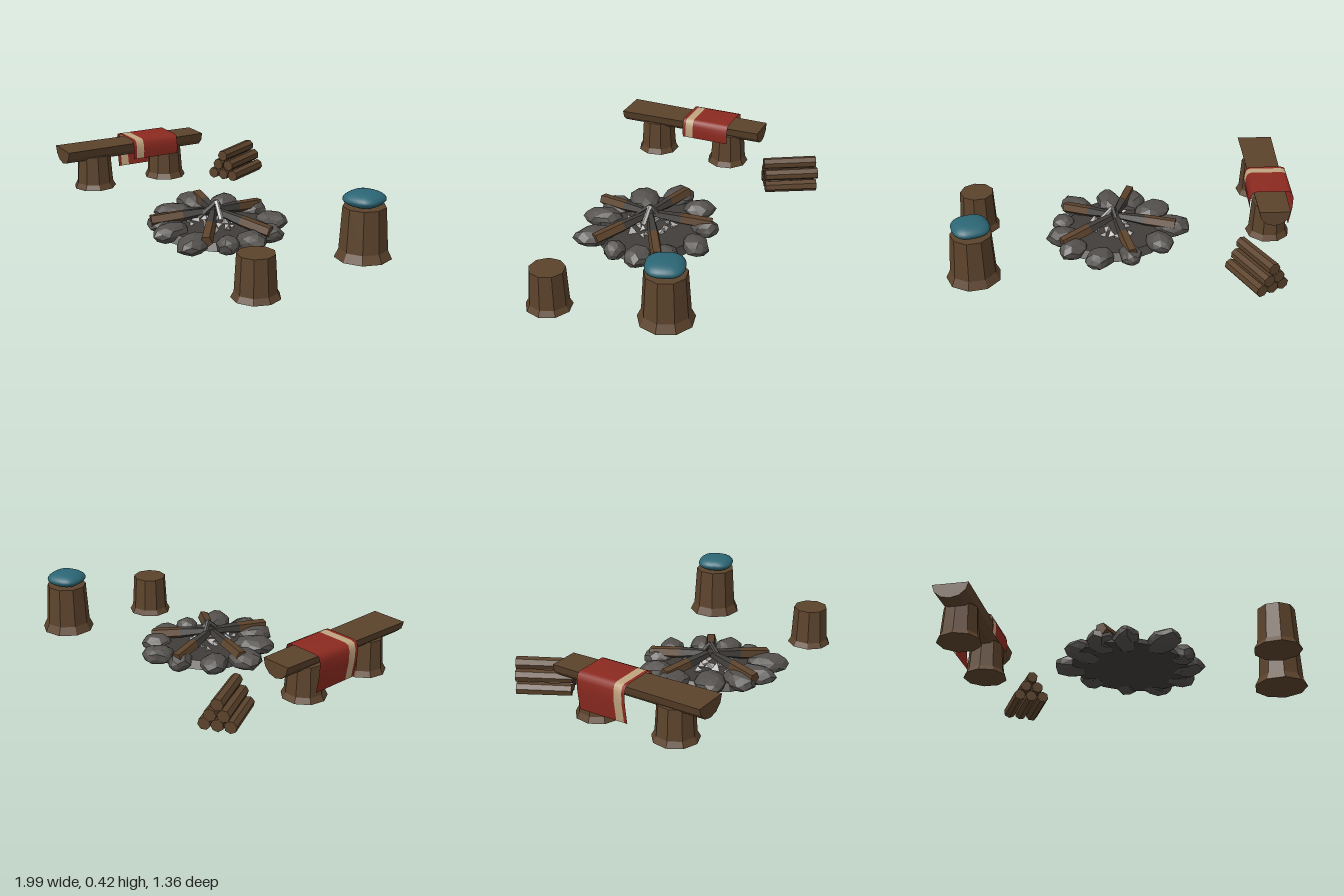
import * as THREE from 'three';

const mat = (name, color, extra = {}) => {
  const m = new THREE.MeshStandardMaterial({ color, flatShading: true, ...extra });
  m.name = name;
  return m;
};

export function createModel() {
  const wood = mat('wood', 0x5c432c);
  const stone = mat('stone', 0x53504d);
  const char = mat('charcoal', 0x403d3a);
  const ash = mat('ash', 0xbdbbb9);
  const red = mat('red cloth', 0x8c2a20, { side: THREE.DoubleSide, flatShading: false });
  const cream = mat('cream cloth', 0xc0a580, { side: THREE.DoubleSide, flatShading: false });
  const teal = mat('teal cushion', 0x2c6675, { flatShading: false });

  const root = new THREE.Group();
  root.name = 'campsite';
  let seed = 7;
  const rnd = () => (seed = (seed * 16807) % 2147483647) / 2147483647;

  const add = (parent, name, geo, material, x = 0, y = 0, z = 0) => {
    const m = new THREE.Mesh(geo, material);
    m.name = name;
    m.position.set(x, y, z);
    parent.add(m);
    return m;
  };
  const group = (name, x, z, ry) => {
    const g = new THREE.Group();
    g.name = name;
    g.position.set(x, 0, z);
    g.rotation.y = ry;
    root.add(g);
    return g;
  };

  // Cut stump with flared foot
  const stump = (parent, name, x, y, z, h, rb, rt, flare) => {
    const pts = [[0, 0], [rb, 0], [rt + (rb - rt) * 0.4, flare], [rt, h], [0, h]]
      .map(p => new THREE.Vector2(...p));
    return add(parent, name, new THREE.LatheGeometry(pts, 9), wood, x, y, z);
  };
  // Straight stick between two points
  const stick = (parent, name, a, b, ra, rb, sides, material) => {
    const d = b.clone().sub(a);
    const m = add(parent, name, new THREE.CylinderGeometry(rb, ra, d.length(), sides), material);
    m.position.copy(a).add(b).multiplyScalar(0.5);
    m.quaternion.setFromUnitVectors(new THREE.Vector3(0, 1, 0), d.normalize());
    return m;
  };

  // Stump seats
  stump(root, 'frontSeat', 0.735, 0, 0.55, 0.22, 0.123, 0.095, 0.03);
  stump(root, 'cushionSeat', 0.85, 0.075, -0.075, 0.265, 0.146, 0.11, 0.045);

  // Pillow: sphere pushed out to a rounded square with a thin rim
  const pillow = new THREE.SphereGeometry(1, 24, 16);
  const pp = pillow.attributes.position;
  const puff = v => Math.sign(v) * Math.pow(Math.abs(v), 0.75);
  for (let i = 0; i < pp.count; i++) {
    const x = pp.getX(i), y = pp.getY(i), z = pp.getZ(i);
    pp.setXYZ(i, puff(x) * 0.1, Math.sign(y) * Math.pow(Math.abs(y), 1.15) * 0.04, puff(z) * 0.1);
  }
  pillow.computeVertexNormals();
  add(root, 'cushion', pillow, teal, 0.85, 0.378, -0.072).rotation.y = 0.12;

  // Bench: tapered half log on two stumps
  const bench = group('bench', -0.8125, 0.082, -0.219);
  const half = new THREE.Shape();
  for (let i = 0; i <= 6; i++) {
    const a = Math.PI + (i / 6) * Math.PI;
    half[i ? 'lineTo' : 'moveTo'](Math.cos(a) * 0.09, Math.sin(a) * 0.083);
  }
  half.closePath();
  const plank = new THREE.ExtrudeGeometry(half, { depth: 0.852, bevelEnabled: false });
  plank.translate(0, 0, -0.426);
  const bp = plank.attributes.position;
  for (let i = 0; i < bp.count; i++) bp.setX(i, bp.getX(i) * (1 + bp.getZ(i) * 0.2));
  plank.computeVertexNormals();
  add(bench, 'benchTop', plank, wood, 0, 0.378, 0);
  for (const z of [-0.215, 0.235]) stump(bench, 'benchLeg', 0, 0.135, z, 0.19, 0.12, 0.093, 0.03);

  // Blanket draped over the bench, in three bands
  const drape = [[-0.1, 0.195], [-0.117, 0.3], [-0.118, 0.36], [-0.108, 0.39], [-0.085, 0.398],
    [0.085, 0.398], [0.104, 0.39], [0.113, 0.365], [0.116, 0.33], [0.112, 0.288]];
  const band = (name, z0, z1, material) => {
    const g = new THREE.PlaneGeometry(1, 1, drape.length - 1, 1);
    const p = g.attributes.position;
    for (let i = 0; i < p.count; i++) {
      const [x, y] = drape[i % drape.length];
      p.setXYZ(i, x - 0.008, y, i < drape.length ? z0 : z1);
    }
    g.rotateY(0);
    g.computeVertexNormals();
    add(bench, name, g, material);
  };
  band('blanket', -0.247, -0.032, red);
  band('blanketStripe', -0.032, 0.013, cream);
  band('blanketHem', 0.013, 0.032, red);

  // Firewood pile: rows of three, two and one
  const pile = group('woodpile', -0.563, -0.52, 0.27);
  for (let row = 0; row < 3; row++) {
    for (let i = 0; i < 3 - row; i++) {
      const log = add(pile, 'firewood', new THREE.CylinderGeometry(0.032, 0.034, 0.285 + rnd() * 0.02, 7),
        wood, (i - (2 - row) / 2) * 0.066, 0.137 + row * 0.057, (rnd() - 0.5) * 0.015);
      log.rotation.set(Math.PI / 2, rnd() * 3, 0);
    }
  }

  // Fire pit on a slight slope
  const pit = group('firePit', 0.02, 0.18, 0);
  const slope = x => -0.075 * x;
  const bed = add(pit, 'charcoalBed', new THREE.CylinderGeometry(0.28, 0.31, 0.04, 14), char, 0, 0.085, 0);
  bed.rotation.z = -0.075;

  // Ring of stones: x, z, half width, half depth, turn
  const stones = [
    [0.01, -0.12, 0.06, 0.08, 0], [0.175, -0.1, 0.088, 0.068, 0.5], [0.29, 0.04, 0.085, 0.065, 0.3],
    [0.32, 0.185, 0.085, 0.075, 0], [0.285, 0.32, 0.065, 0.06, 0], [0.175, 0.455, 0.08, 0.115, 0.35],
    [-0.01, 0.45, 0.07, 0.11, 0], [-0.13, 0.39, 0.075, 0.1, -0.5], [-0.215, 0.26, 0.115, 0.085, 0.3],
    [-0.28, 0.075, 0.1, 0.085, -0.2], [-0.17, -0.06, 0.075, 0.09, 0.3],
  ];
  stones.forEach(([x, z, w, d, turn], k) => {
    const g = new THREE.IcosahedronGeometry(1, 1);
    const p = g.attributes.position, v = new THREE.Vector3();
    for (let i = 0; i < p.count; i++) {
      v.fromBufferAttribute(p, i);
      v.multiplyScalar(1 + 0.1 * Math.sin(v.x * 5 + k * 2) * Math.cos(v.z * 4 + v.y * 3 + k));
      v.y = Math.max(v.y, -0.8);
      p.setXYZ(i, v.x * w, v.y * 0.053, v.z * d);
    }
    g.computeVertexNormals();
    add(pit, 'stone', g, stone, x - 0.02, 0.1 + slope(x), z - 0.18).rotation.y = turn;
  });

  // Half-burnt logs leaning to the middle
  [-18, 48, 118, 206, 268].forEach(deg => {
    const a = THREE.MathUtils.degToRad(deg);
    const at = (r, y) => new THREE.Vector3(Math.cos(a) * r, y + slope(Math.cos(a) * r), Math.sin(a) * r);
    stick(pit, 'logEnd', at(0.34, 0.13), at(0.17, 0.15), 0.033, 0.032, 5, wood);
    stick(pit, 'charredLog', at(0.17, 0.15), at(0.02, 0.17), 0.032, 0.02, 5, char);
  });
  // Burnt kindling standing in the centre
  for (const [x, z, m] of [[0.08, 0.02, ash], [-0.03, 0.08, stone], [0, -0.07, stone]]) {
    stick(pit, 'kindling', new THREE.Vector3(x, 0.14, z), new THREE.Vector3(0.015, 0.225, -0.005), 0.014, 0.012, 5, m);
  }
  // Ash flakes
  for (let i = 0; i < 22; i++) {
    const a = i * 2.4, r = 0.03 + rnd() * 0.11, s = 0.016 + rnd() * 0.02;
    const x = Math.cos(a) * r;
    const f = add(pit, 'ashFlake', new THREE.TetrahedronGeometry(s), ash, x, 0.112 + slope(x), Math.sin(a) * r);
    f.rotation.set(rnd() * 3, rnd() * 3, rnd() * 3);
  }
  return root;
}
